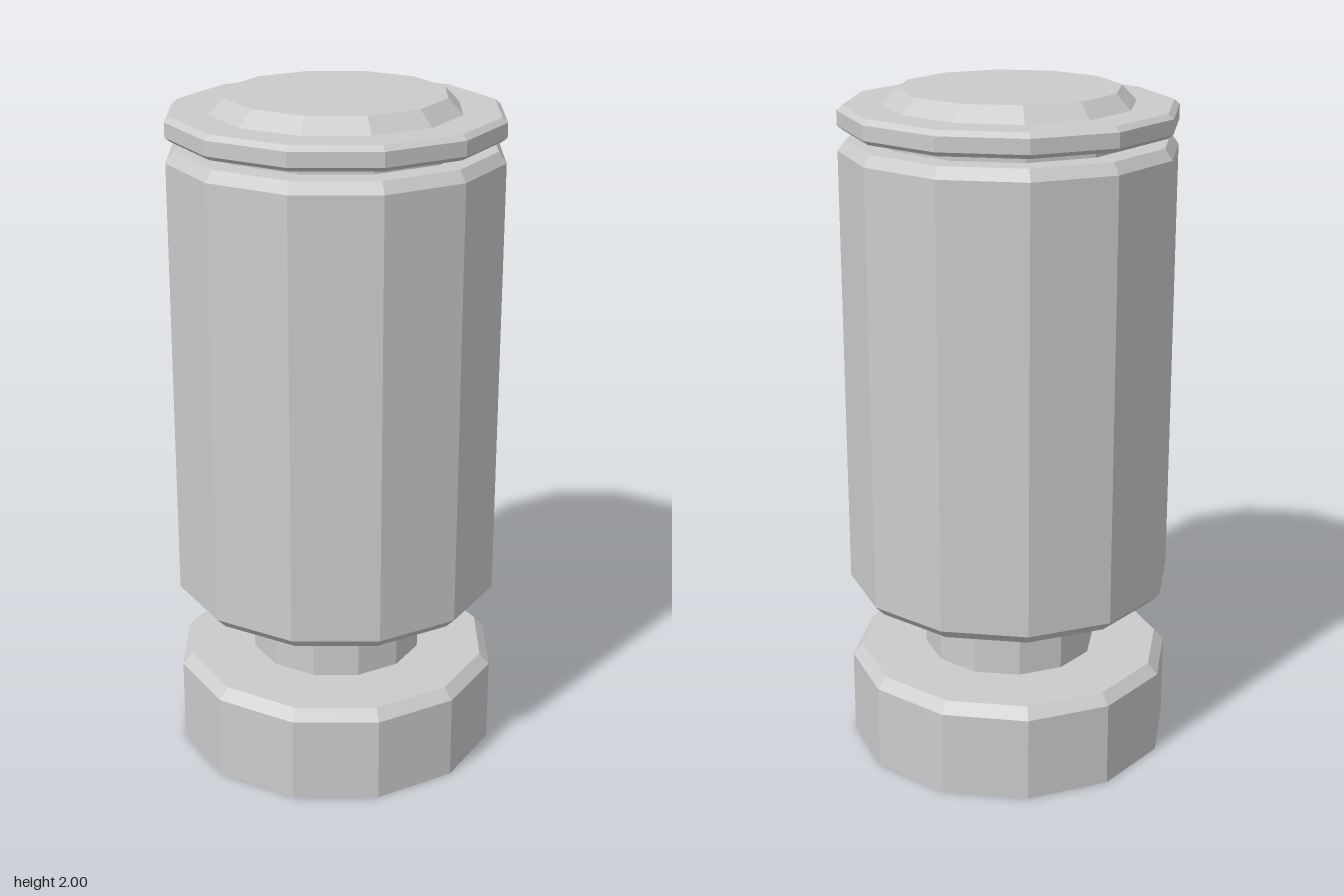
import * as THREE from 'three';

const SIDES = 12;
const material = new THREE.MeshStandardMaterial({ color: 0xcccccc, flatShading: true });

// Closed faceted solid turned from [radius, height] pairs, listed bottom to top
function turned(name, profile) {
  const closed = [[0, profile[0][1]], ...profile, [0, profile[profile.length - 1][1]]];
  const points = closed.map(([r, y]) => new THREE.Vector2(r, y));
  const mesh = new THREE.Mesh(new THREE.LatheGeometry(points, SIDES), material);
  mesh.name = name;
  return mesh;
}

export function createModel() {
  const group = new THREE.Group();
  group.name = 'cylinderWithRims';
  group.add(
    // Foot with a chamfered upper edge
    turned('base', [[0.488, 0], [0.488, 0.255], [0.458, 0.287]]),
    // Narrow stem between foot and body
    turned('lowerNeck', [[0.26, 0.27], [0.26, 0.51]]),
    // Main barrel, chamfered at both ends
    turned('body', [[0.458, 0.492], [0.488, 0.523], [0.488, 1.828], [0.465, 1.86]]),
    // Short groove under the lid
    turned('upperNeck', [[0.39, 1.85], [0.39, 1.9]]),
    // Thin lid disc with bevelled rim
    turned('lid', [[0.472, 1.887], [0.488, 1.9], [0.488, 1.942], [0.472, 1.956]]),
    // Tapered raised cap
    turned('cap', [[0.363, 1.95], [0.363, 1.956], [0.32, 2]])
  );
  return group;
}
